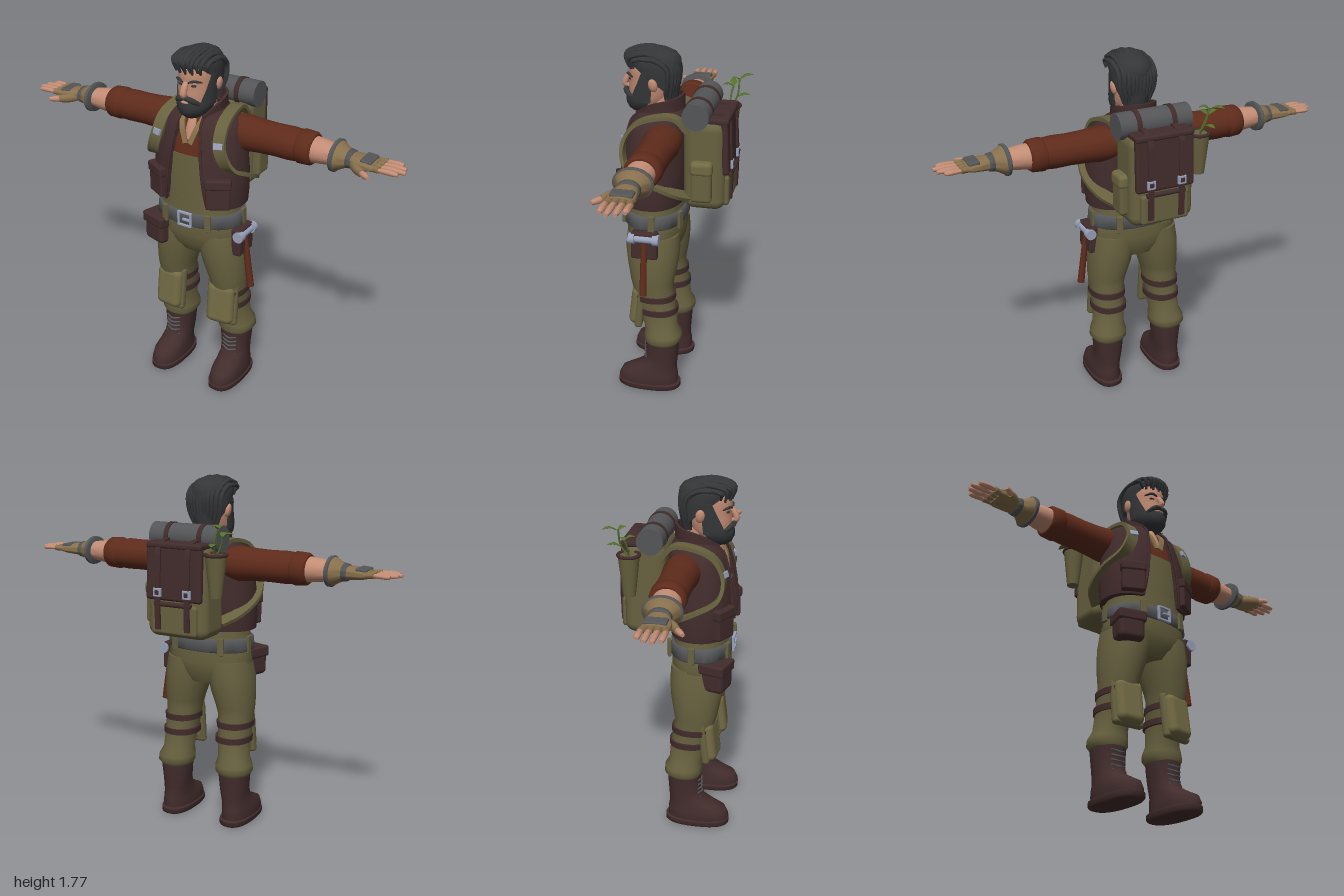
import * as THREE from 'three';
import { toCreasedNormals } from 'three/addons/utils/BufferGeometryUtils.js';
import { RoundedBoxGeometry } from 'three/addons/geometries/RoundedBoxGeometry.js';

const V = (x, y, z) => new THREE.Vector3(x, y, z);
const mat = (name, color) => Object.assign(new THREE.MeshStandardMaterial({ color }), { name });
const M = {
  olive: mat('olive cloth', 0x67613f), pad: mat('light olive', 0x716a44), brown: mat('dark leather', 0x422c2c),
  rust: mat('rust shirt', 0x5e2b1b), skin: mat('skin', 0xc28c74), hair: mat('hair', 0x343638),
  grey: mat('grey', 0x545557), tan: mat('tan glove', 0x88704c), metal: mat('metal', 0x97a0b8), leaf: mat('leaf', 0x53702b),
};

// Closed surface through equal-length loops of points, capped at both ends
function skin(rings, crease = 0.9) {
  const n = rings[0].length, pos = [], idx = [];
  rings.forEach(r => r.forEach(p => pos.push(p.x, p.y, p.z)));
  for (let j = 0; j < rings.length - 1; j++) for (let i = 0; i < n; i++) {
    const a = j * n + i, b = j * n + (i + 1) % n;
    idx.push(a, b, b + n, a, b + n, a + n);
  }
  const top = (rings.length - 1) * n;
  for (let i = 0; i < n / 2 - 1; i++) {
    const [a, b, c, d] = [i, i + 1, n - 2 - i, n - 1 - i];
    idx.push(a, c, b, a, d, c, top + a, top + b, top + c, top + a, top + c, top + d);
  }
  const g = new THREE.BufferGeometry();
  g.setAttribute('position', new THREE.Float32BufferAttribute(pos, 3));
  g.setIndex(idx);
  return toCreasedNormals(g, crease);
}
const sp = (v, e) => Math.sign(v) * Math.abs(v) ** e;
const at = ([y, cx, cz, rx, rz], a, p, d = 0) => V(cx + (rx - d) * sp(Math.sin(a), 2 / p), y, cz + (rz - d) * sp(Math.cos(a), 2 / p));
// Stack of rounded rings [y, cx, cz, rx, rz]
const loft = (rings, p = 2, n = 32) => skin(rings.map(r => Array.from({ length: n }, (_, i) => at(r, i / n * Math.PI * 2, p))));
// Shell over part of each ring, thickness t; span(ring) gives start and end angle from the front
const shell = (rings, span, t, p = 2, n = 24) => skin(rings.map(r => {
  const [a0, a1] = span(r), out = [], inn = [];
  for (let i = 0; i <= n; i++) {
    const a = a0 + (a1 - a0) * i / n;
    out.push(at(r, a, p)); inn.unshift(at(r, a, p, t));
  }
  return [...out, ...inn];
}));
// Flat strap (n = 4) or rounded strand swept along a curve; W is the width direction
function sweep(pts, w, t, { W = V(1, 0, 0), n = 4, taper = 0, steps = 20 } = {}) {
  const c = new THREE.CatmullRomCurve3(pts.map(p => V(...p))), k = n === 4 ? Math.SQRT2 : 1;
  return skin(Array.from({ length: steps + 1 }, (_, j) => {
    const u = j / steps, T = c.getTangent(u), o = c.getPoint(u), f = 1 - taper * (2 * u - 1) ** 2;
    const A = W.clone().addScaledVector(T, -W.dot(T)).normalize(), N = T.clone().cross(A);
    return Array.from({ length: n }, (_, i) => {
      const a = i / n * Math.PI * 2 - Math.PI * 0.75;
      return o.clone().addScaledVector(A, Math.cos(a) * k * f * w / 2).addScaledVector(N, Math.sin(a) * k * f * t / 2);
    });
  }));
}
const place = (g, x, y, z, rx = 0, ry = 0, rz = 0) => g.rotateX(rx).rotateY(ry).rotateZ(rz).translate(x, y, z);
const box = (w, h, d, x, y, z, rx, ry, rz, r = 0.2) => place(new RoundedBoxGeometry(w, h, d, 3, Math.min(w, h, d) * r), x, y, z, rx, ry, rz);
const ball = (a, b, c, x, y, z, rx, ry, rz) => place(new THREE.SphereGeometry(1, 20, 14).scale(a, b, c), x, y, z, rx, ry, rz);
const cyl = (r0, r1, h, x, y, z, rx, ry, rz) => place(new THREE.CylinderGeometry(r0, r1, h, 24), x, y, z, rx, ry, rz);
function flip(g) {
  const m = g.clone().scale(-1, 1, 1);
  const ix = m.index ? Array.from(m.index.array) : Array.from({ length: m.attributes.position.count }, (_, i) => i);
  for (let i = 0; i < ix.length; i += 3) [ix[i + 1], ix[i + 2]] = [ix[i + 2], ix[i + 1]];
  return m.setIndex(ix);
}

export function createModel() {
  const root = new THREE.Group();
  root.name = 'explorer';
  const add = (name, g, m) => root.add(Object.assign(new THREE.Mesh(g, m), { name }));
  const both = (name, g, m) => { add('left ' + name, g, m); add('right ' + name, flip(g), m); };

  // Legs, knee pads and boots
  both('trouser leg', loft([[0.27, .17, .06, .08, .085], [0.29, .17, .057, .094, .095], [0.32, .168, .057, .092, .094], [0.36, .163, .068, .078, .083],
    [0.45, .155, .085, .079, .095], [0.58, .15, .112, .088, .102], [0.62, .147, .113, .095, .11], [0.7, .133, .113, .108, .125],
    [0.78, .122, .115, .115, .134], [0.86, .11, .115, .115, .13]], 2.2), M.olive);
  add('hips', loft([[0.74, 0, .11, .12, .1], [0.79, 0, .115, .2, .13], [0.85, 0, .117, .228, .142], [0.92, 0, .12, .217, .143], [0.97, 0, .12, .205, .14], [1.06, 0, .12, .205, .14]], 2.3), M.olive);
  both('knee pad', box(0.145, 0.215, 0.075, 0.15, 0.475, 0.185, -0.12, 0.1, 0, 0.45), M.pad);
  both('knee pad rim', box(0.165, 0.235, 0.04, 0.15, 0.475, 0.17, -0.12, 0.1, 0, 0.45), M.olive);
  for (const y of [0.455, 0.53]) {
    const cz = y > 0.5 ? .102 : .086, rz = y > 0.5 ? .107 : .102;
    both('knee strap', shell([[y - .015, .153, cz, .09, rz], [y + .015, .153, cz, .091, rz]], () => [0.7, Math.PI * 2 - 0.7], .02, 2.2), M.brown);
  }
  both('boot', loft([[0.02, .175, .135, .073, .152], [0.05, .176, .135, .077, .155], [0.085, .176, .128, .073, .146], [0.11, .174, .105, .069, .118],
    [0.14, .172, .077, .067, .091], [0.18, .17, .065, .069, .082], [0.25, .17, .062, .076, .084], [0.285, .17, .062, .078, .085]], 2.3), M.brown);
  both('boot sole', loft([[0, .175, .13, .074, .155], [0.008, .175, .13, .08, .163], [0.03, .175, .13, .08, .163], [0.034, .175, .13, .074, .155]], 2.5), M.brown);
  for (let i = 0; i < 6; i++) {
    const y = 0.125 + i * 0.024, z = [.172, .156, .15, .149, .149, .148][i];
    both('boot lace', sweep([[.132, y + .006, z - .012], [.172, y, z + .002], [.21, y + .006, z - .012]], .01, .01, { W: V(0, 1, 0), n: 8, steps: 6 }), M.grey);
  }

  // Belt with buckle and loops
  add('belt', loft([[0.91, 0, .12, .223, .15], [0.915, 0, .12, .228, .154], [0.973, 0, .12, .222, .151], [0.978, 0, .12, .217, .146]], 2.3), M.grey);
  for (const [x, z, ry] of [[.12, .262, .3], [.222, .1, 1.57], [.13, -.024, 2.8]]) both('belt loop', box(.032, .088, .016, x, .945, z, 0, ry), M.olive);
  for (const s of [-1, 1]) {
    add('buckle bar', box(.075, .01, .014, 0, .945 + s * .033, .276), M.metal);
    add('buckle side', box(.01, .075, .014, s * .034, .945, .276), M.metal);
  }
  add('buckle prong', box(.04, .01, .014, .01, .945, .28), M.metal);

  // Hip pouches and hammer
  add('right pouch', box(.13, .14, .12, -.175, .835, .215, 0, -.3), M.brown);
  add('right pouch flap', box(.142, .055, .132, -.175, .885, .215, 0, -.3), M.brown);
  add('left holster', box(.05, .14, .13, .232, .84, .13), M.brown);
  add('hammer handle', cyl(.014, .018, .3, .264, .735, .13, 0, 0, .13), M.rust);
  add('hammer head', cyl(.019, .019, .11, .25, .878, .13, Math.PI / 2), M.metal);
  for (const z of [.07, .19]) add('hammer face', cyl(.027, .027, .03, .25, .878, z, Math.PI / 2), M.metal);

  // Torso, shirt and vest
  const body = [[1.0, 0, .12, .2, .138], [1.15, 0, .12, .205, .14], [1.27, 0, .118, .2, .137]];
  add('apron', loft(body, 2.3), M.olive);
  add('shirt', loft([[1.265, 0, .117, .198, .134], [1.34, 0, .11, .187, .127], [1.41, 0, .095, .165, .11], [1.455, 0, .09, .09, .09]], 2.3), M.rust);
  const vest = [[1.02, 0, .12, .236, .15], [1.09, 0, .12, .241, .16], [1.18, 0, .118, .238, .163], [1.29, 0, .112, .226, .156],
    [1.37, 0, .103, .212, .146], [1.42, 0, .096, .198, .135], [1.45, 0, .088, .15, .115], [1.475, 0, .08, .1, .095]];
  const gap = r => { const a = Math.asin((Math.max(.05, .115 - (r[0] - 1.02) * .13) / r[3]) ** 1.15); return [a, Math.PI * 2 - a]; };
  add('vest', shell(vest, gap, .028, 2.3, 40), M.brown);
  const edge = vest.map(r => at(r, gap(r)[0], 2.3).toArray());
  both('vest trim', sweep(edge, .014, .014, { n: 8 }), M.brown);
  add('vest collar', sweep([[.065, 1.43, .19], [.098, 1.475, .12], [.085, 1.5, .03], [0, 1.51, -.012], [-.085, 1.5, .03], [-.098, 1.475, .12], [-.065, 1.43, .19]],
    .065, .014, { W: V(0, 1, 0), steps: 32 }), M.brown);
  both('vest pocket', box(.115, .14, .05, .165, 1.1, .24, 0, .5), M.brown);
  both('vest pocket flap', box(.125, .05, .062, .165, 1.16, .24, 0, .5), M.brown);
  add('open neck', sweep([[0, 1.33, .232], [0, 1.39, .213], [0, 1.45, .19]], .05, .02, { n: 10, taper: .4 }), M.skin);
  both('shirt lapel', sweep([[.012, 1.325, .24], [.04, 1.4, .222], [.062, 1.465, .17]], .026, .01), M.tan);
  add('neck', cyl(.06, .07, .14, 0, 1.465, .1), M.skin);

  // Arms: rings run outward from the shoulder
  const arm = (rings, p) => loft(rings.map(([x, z, h, d]) => [x, 0, z, h, d]), p).rotateZ(-Math.PI / 2).translate(0, 1.357, 0);
  both('sleeve', arm([[.13, .05, .075, .085], [.2, .05, .086, .09], [.28, .05, .079, .083], [.36, .05, .076, .079], [.44, .05, .078, .081], [.5, .05, .073, .078]]), M.rust);
  both('rolled cuff', arm([[.485, .05, .074, .078], [.495, .05, .08, .085], [.55, .052, .077, .083], [.562, .052, .068, .073]]), M.rust);
  both('forearm', arm([[.54, .053, .062, .067], [.6, .055, .057, .063], [.68, .058, .045, .052], [.74, .06, .036, .045]]), M.skin);
  both('glove cuff', arm([[.668, .058, .069, .086], [.675, .058, .07, .087], [.71, .06, .05, .06], [.74, .06, .038, .046]]), M.tan);
  both('glove cuff edge', arm([[.66, .058, .067, .084], [.663, .058, .072, .09], [.676, .058, .073, .091], [.681, .058, .068, .085]]), M.grey);
  both('wrist strap', arm([[.725, .06, .04, .049], [.73, .06, .044, .053], [.75, .06, .04, .051], [.753, .06, .035, .046]]), M.grey);
  both('glove palm', arm([[.74, .06, .033, .044], [.78, .064, .03, .057], [.83, .065, .025, .064], [.862, .065, .017, .06]], 2.4), M.tan);
  both('knuckle plate', box(.055, .02, .1, .825, 1.376, .062, 0, 0, -.08, .4), M.grey);
  [[.965, .012], [.99, .046], [1.0, .081], [.978, .115]].forEach(([tip, z]) => {
    const z0 = .065 + (z - .065) * .88;
    both('glove finger', sweep([[.84, 1.358, z0], [.865, 1.359, z0], [.892, 1.36, z]], .032, .03, { W: V(0, 0, 1), n: 10, steps: 5 }), M.tan);
    both('finger', sweep([[.88, 1.36, z], [.94, 1.36, z], [tip, 1.358, z]], .029, .026, { W: V(0, 0, 1), n: 10, taper: .35, steps: 12 }), M.skin);
  });
  both('glove thumb', sweep([[.755, 1.35, .09], [.79, 1.347, .125], [.83, 1.345, .152]], .045, .036, { W: V(0, 1, 0), n: 10, taper: .2 }), M.tan);
  both('thumb', sweep([[.81, 1.346, .14], [.84, 1.345, .16], [.87, 1.345, .182]], .03, .028, { W: V(0, 1, 0), n: 10, taper: .4 }), M.skin);

  // Head and face
  add('head', loft([[1.46, 0, .17, .04, .05], [1.49, 0, .16, .07, .085], [1.53, 0, .15, .081, .1], [1.58, 0, .143, .086, .11], [1.62, 0, .137, .087, .11],
    [1.64, 0, .137, .088, .117], [1.68, 0, .133, .088, .114], [1.72, 0, .13, .075, .1], [1.75, 0, .13, .04, .06]]), M.skin);
  add('nose', sweep([[0, 1.625, .245], [0, 1.6, .264], [0, 1.572, .272], [0, 1.563, .25]], .032, .03, { n: 10, taper: .3 }), M.skin);
  both('ear', ball(.014, .033, .022, .093, 1.6, .115, .15, 0, -.15), M.skin);
  both('eye', ball(.014, .006, .008, .034, 1.611, .237, 0, .3), M.hair);
  both('eyebrow', sweep([[.014, 1.627, .254], [.04, 1.636, .247], [.068, 1.627, .218]], .013, .014, { W: V(0, 1, 0), n: 8, taper: .5 }), M.hair);
  add('beard', shell([[1.45, 0, .185, .038, .05], [1.465, 0, .178, .06, .075], [1.49, 0, .167, .08, .098], [1.515, 0, .155, .089, .111], [1.532, 0, .15, .09, .113]],
    () => [-1.75, 1.75], .03), M.hair);
  add('beard underside', ball(.058, .025, .065, 0, 1.475, .175), M.hair);
  both('sideburn', shell([[1.51, 0, .15, .089, .111], [1.55, 0, .146, .091, .114], [1.6, 0, .14, .093, .112], [1.66, 0, .136, .096, .112]],
    r => [.75 + (r[0] - 1.51) * 3.5, 1.75], .02, 2, 10), M.hair);
  both('moustache', sweep([[0, 1.556, .263], [.03, 1.55, .26], [.06, 1.525, .228]], .026, .026, { W: V(0, 1, 0), n: 10, taper: .3 }), M.hair);
  add('lip', ball(.02, .005, .008, 0, 1.534, .262), M.skin);

  // Hair: a shell open at the face, with swept-back locks
  add('hair', shell([[1.52, 0, .1, .07, .085], [1.57, 0, .105, .09, .1], [1.63, 0, .115, .099, .113], [1.68, 0, .122, .1, .124], [1.71, 0, .128, .098, .126],
    [1.735, 0, .13, .084, .11], [1.755, 0, .13, .05, .07]], r => { const a = Math.max(.02, Math.min(2, 2 - (r[0] - 1.57) * 11)); return [a, Math.PI * 2 - a]; }, .022, 2, 32), M.hair);
  add('hair crown', ball(.088, .055, .118, 0, 1.708, .135), M.hair);
  for (let i = -5; i <= 5; i++) {
    const s = i / 5.4, h = Math.sqrt(1 - s * s * .85), w = (i & 1) * .01;
    add('hair lock', sweep([[s * .085 + w, 1.665 + w, .16 + .09 * h], [s * .1, 1.69 + .035 * h, .155 + .108 * h], [s * .1, 1.69 + .066 * h - w * .5, .17],
      [s * .1, 1.68 + .065 * h, .1], [s * .1, 1.655 + .03 * h, .085 - .072 * h], [s * .095, 1.6, .085 - .075 * h], [s * .075, 1.53 + w, .085 - .06 * h]],
      .027, .024, { n: 8, taper: .55, steps: 28 }), M.hair);
  }

  // Backpack
  add('pack', box(.33, .45, .2, 0, 1.24, -.14, 0, 0, 0, .25), M.olive);
  add('pack flap top', box(.3, .03, .2, 0, 1.462, -.155, 0, 0, 0, .4), M.brown);
  add('pack flap back', box(.3, .27, .035, 0, 1.335, -.238, .04, 0, 0, .4), M.brown);
  add('pack back pocket', box(.25, .15, .04, 0, 1.11, -.238, 0, 0, 0, .4), M.olive);
  add('pack pocket roll', cyl(.012, .012, .2, 0, 1.185, -.258, 0, 0, Math.PI / 2), M.brown);
  both('pack strap', sweep([[.08, 1.47, -.06], [.08, 1.485, -.15], [.08, 1.46, -.245], [.08, 1.36, -.258], [.08, 1.2, -.265], [.08, 1.06, -.262]], .028, .01), M.brown);
  both('pack buckle', box(.042, .042, .014, .08, 1.24, -.265), M.metal);
  both('pack buckle bar', box(.022, .022, .018, .08, 1.24, -.266), M.brown);
  add('side pocket', box(.05, .2, .1, .175, 1.17, -.135, 0, 0, 0, .35), M.olive);
  add('side pocket flap', box(.06, .07, .108, .175, 1.24, -.135, 0, 0, 0, .35), M.pad);
  both('shoulder strap', sweep([[.13, 1.4, -.06], [.135, 1.462, .0], [.145, 1.46, .1], [.158, 1.42, .195], [.172, 1.33, .242], [.205, 1.24, .222],
    [.24, 1.18, .12], [.215, 1.12, .0], [.15, 1.08, -.06]], .06, .018, { steps: 40 }), M.olive);
  both('strap buckle', box(.045, .03, .015, .167, 1.35, .247, -.3, .4), M.metal);

  // Bedroll
  add('bedroll', cyl(.064, .064, .37, 0, 1.49, -.105, 0, 0, Math.PI / 2), M.grey);
  both('bedroll strap', cyl(.068, .068, .024, .09, 1.49, -.105, 0, 0, Math.PI / 2), M.brown);

  // Plant in its side holder
  add('plant holder', cyl(.052, .03, .2, -.2, 1.33, -.2), M.olive);
  add('plant holder rim', place(new THREE.TorusGeometry(.05, .009, 8, 24), -.2, 1.43, -.2, Math.PI / 2), M.brown);
  const leaf = (x, y, z, dx, dy, dz) => add('leaf', sweep([[x, y, z], [x + dx / 2, y + dy / 2 + .012, z + dz / 2], [x + dx, y + dy, z + dz]],
    .034, .006, { W: V(dz, 0, -dx).normalize(), n: 8, taper: 1 }), M.leaf);
  const stem = pts => add('plant stem', sweep(pts, .009, .009, { n: 8 }), M.leaf);
  stem([[-.2, 1.42, -.2], [-.21, 1.48, -.235], [-.23, 1.56, -.24]]);
  stem([[-.2, 1.42, -.2], [-.225, 1.47, -.2], [-.24, 1.52, -.21]]);
  leaf(-.23, 1.555, -.24, -.045, .015, -.065);
  leaf(-.23, 1.555, -.24, .04, .005, .03);
  leaf(-.24, 1.515, -.21, -.055, .015, .01);
  leaf(-.24, 1.515, -.21, .02, .01, .05);
  leaf(-.208, 1.47, -.23, -.02, .01, -.07);
  return root;
}
